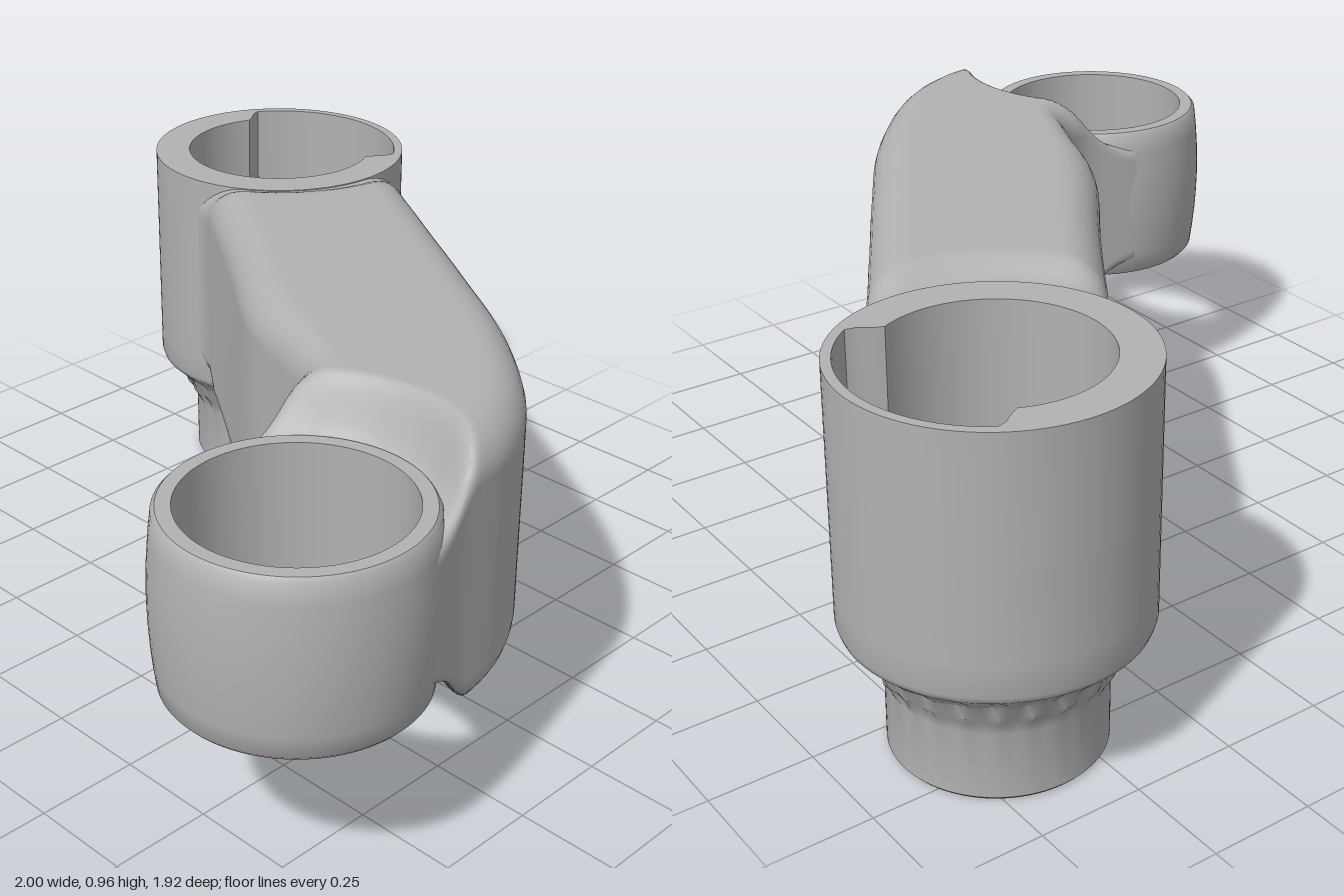
import * as THREE from 'three';
import { toCreasedNormals } from 'three/addons/utils/BufferGeometryUtils.js';

const CUP = { x: -0.655, z: -0.62 };
const RING = { x: 0.69, z: 0.65 };
const MID = 0.6225;
const { smoothstep } = THREE.MathUtils;

const v2 = (list) => list.map(([x, y]) => new THREE.Vector2(x, y));
const planCurve = (list) => new THREE.CatmullRomCurve3(list.map(([x, z]) => new THREE.Vector3(x, 0, z)));

// Push a plan point out of a circle so the arm wraps round the cup and the ring
function pushOut(p, c, r) {
  const dx = p.x - c.x, dz = p.z - c.z, d = Math.hypot(dx, dz);
  if (d >= r) return;
  p.x = c.x + (dx / d) * r;
  p.z = c.z + (dz / d) * r;
}

// Half height of the arm: lower beside the cup, dropping to the ring
function halfHeight(p) {
  const toRing = Math.hypot(p.x - RING.x, p.z - RING.z);
  const toCup = Math.hypot(p.x - CUP.x, p.z - CUP.z);
  return 0.205 + 0.128 * smoothstep(toRing, 0.275, 0.37) - 0.033 * (1 - smoothstep(toCup, 0.35, 0.45));
}

// Arm: rounded box section lofted between two plan curves
function armGeometry() {
  const back = planCurve([[-0.45, -0.87], [-0.38, -0.8], [-0.28, -0.7], [0, -0.515], [0.3, -0.325],
    [0.59, -0.13], [0.81, 0.08], [0.9, 0.24], [0.94, 0.43], [0.98, 0.58]]);
  const front = planCurve([[-0.75, -0.29], [-0.6, -0.27], [-0.46, -0.18], [-0.2, 0], [0.04, 0.175],
    [0.12, 0.22], [0.27, 0.28], [0.38, 0.335], [0.415, 0.41], [0.395, 0.58]]);
  const stations = 140, across = 40, corner = 8, bevel = 0.1;

  // Upper half of the section as [side, share of flat, inset, drop]
  const upper = [];
  for (let k = 0; k <= corner; k++) {
    const a = (k / corner) * Math.PI / 2;
    upper.push([0, bevel * (1 - Math.sin(a)), bevel * (1 - Math.cos(a))]);
  }
  upper.forEach((u) => { [u[1], u[2]] = [u[2], u[1]]; });
  for (let k = 1; k < across; k++) upper.push([k / across, bevel, 0]);
  for (let k = corner; k >= 0; k--) {
    const [, inset, drop] = upper[k];
    upper.push([1, inset, drop]);
  }
  const section = [...upper.map((u) => [...u, 1]), ...upper.slice().reverse().map((u) => [...u, -1])];

  const n = section.length, pos = [], index = [];
  for (let i = 0; i <= stations; i++) {
    const b = back.getPoint(i / stations), f = front.getPoint(i / stations);
    const w = b.distanceTo(f);
    for (const [s, inset, drop, sign] of section) {
      const p = b.clone().lerp(f, (inset + s * (w - 2 * inset)) / w);
      pushOut(p, CUP, 0.335);
      pushOut(p, RING, 0.27);
      pos.push(p.x, MID + sign * (halfHeight(p) - drop), p.z);
    }
    if (i === stations) break;
    for (let j = 0; j < n; j++) {
      const a = i * n + j, c = i * n + (j + 1) % n;
      index.push(a, c, a + n, c, c + n, a + n);
    }
  }
  const g = new THREE.BufferGeometry();
  g.setAttribute('position', new THREE.Float32BufferAttribute(pos, 3));
  g.setIndex(index);
  g.computeVertexNormals();
  return g;
}

// Cup wall: a disc with a bore, optionally widened at the back
function wallGeometry(y0, y1, wide) {
  const shape = new THREE.Shape().absarc(0, 0, 0.345, 0, Math.PI * 2);
  const bore = [];
  for (let k = 0; k < 120; k++) {
    const deg = k * 3;
    const open = smoothstep(deg, 27, 36) * (1 - smoothstep(deg, 147, 156));
    const r = 0.252 + (wide ? 0.07 * open : 0);
    const a = deg * Math.PI / 180;
    bore.push(new THREE.Vector2(r * Math.cos(a), r * Math.sin(a)));
  }
  shape.holes.push(new THREE.Path(bore));
  const g = new THREE.ExtrudeGeometry(shape, { depth: y1 - y0, bevelEnabled: false, curveSegments: 48 });
  g.rotateX(-Math.PI / 2).translate(0, y0, 0);
  return toCreasedNormals(g, 0.6);
}

// Cup base: stepped neck with a rippled collar, floor and centre hole
function baseGeometry() {
  const g = new THREE.LatheGeometry(v2([[0.035, 0], [0.238, 0], [0.245, 0.008], [0.245, 0.17], [0.255, 0.2],
    [0.272, 0.225], [0.282, 0.26], [0.305, 0.285], [0.34, 0.315], [0.345, 0.33], [0.345, 0.4], [0.252, 0.4],
    [0.252, 0.3], [0.23, 0.29], [0.035, 0.28], [0.035, 0]]), 96);
  const p = g.attributes.position;
  for (let i = 0; i < p.count; i++) {
    const x = p.getX(i), y = p.getY(i), z = p.getZ(i);
    if (y < 0.19 || y > 0.287 || Math.hypot(x, z) < 0.25) continue;
    const k = 1 + 0.016 * Math.sin(24 * Math.atan2(z, x) + y * 30);
    p.setXYZ(i, x * k, y, z * k);
  }
  return toCreasedNormals(g, 0.6);
}

// Ring: slightly barrelled band
function ringGeometry() {
  const outer = [];
  for (let k = 0; k <= 8; k++) {
    const u = k / 4 - 1;
    outer.push([0.306 - 0.014 * u * u, 0.625 + 0.2 * u]);
  }
  return toCreasedNormals(new THREE.LatheGeometry(v2([[0.25, 0.415], [0.283, 0.415], ...outer,
    [0.283, 0.835], [0.25, 0.835], [0.25, 0.415]]), 80), 0.7);
}

export function createModel() {
  const grey = new THREE.MeshStandardMaterial({ color: 0xb2b2b2 });
  grey.name = 'grey';
  const group = new THREE.Group();
  group.name = 'linkArm';
  const add = (name, geometry, at = { x: 0, z: 0 }) => {
    const mesh = new THREE.Mesh(geometry, grey);
    mesh.name = name;
    mesh.position.set(at.x, 0, at.z);
    group.add(mesh);
  };
  add('arm', armGeometry());
  add('cupBase', baseGeometry(), CUP);
  add('cupLowerWall', wallGeometry(0.4, 0.62, false), CUP);
  add('cupUpperWall', wallGeometry(0.62, 0.925, true), CUP);
  add('ring', ringGeometry(), RING);
  return group;
}
